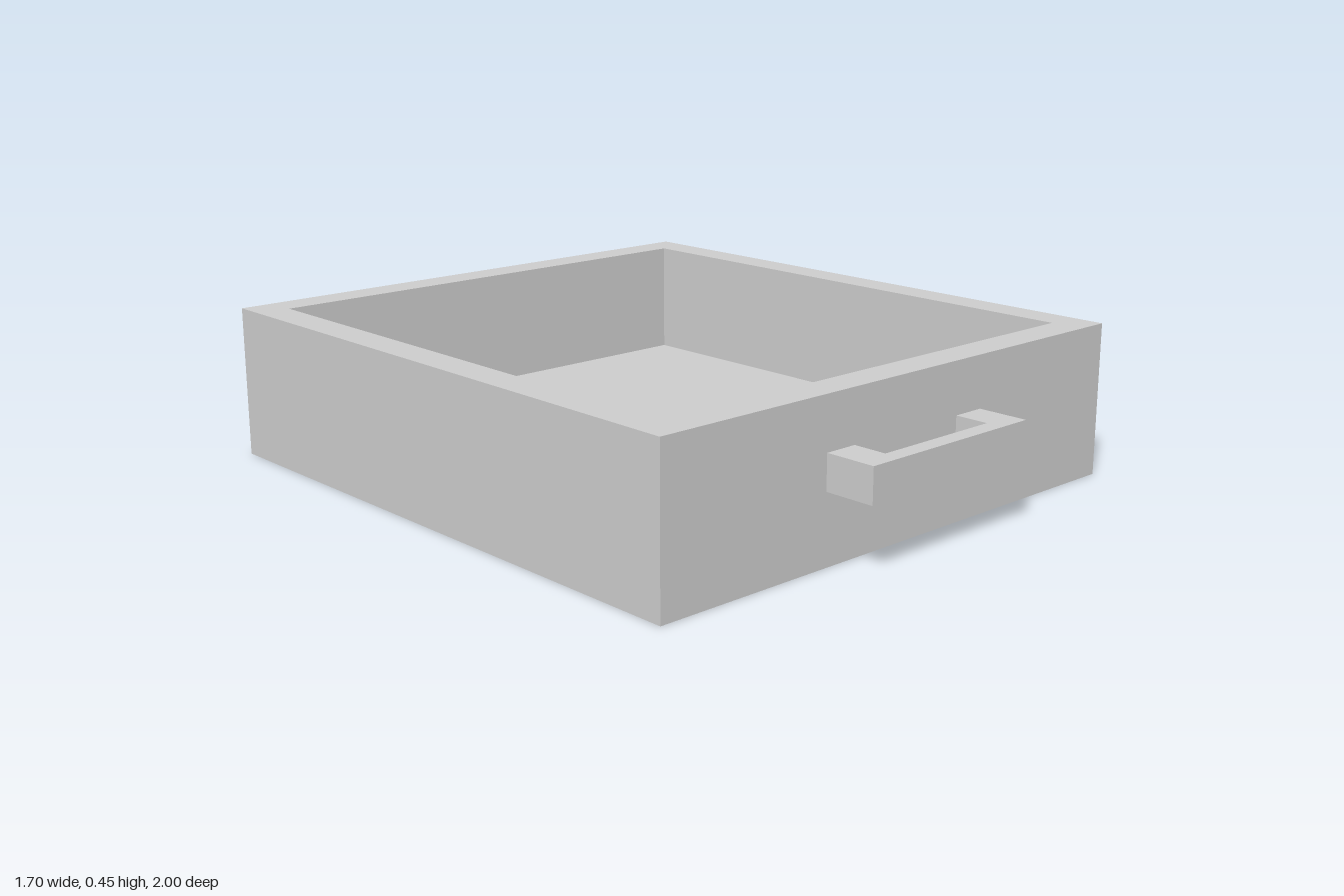
import * as THREE from 'three';

const material = new THREE.MeshStandardMaterial({ color: 0xcccccc, flatShading: true });

// Rectangular cross-section, counterclockwise seen from above
function ring(halfX, halfZ, y) {
  return [[1, 1], [1, -1], [-1, -1], [-1, 1]].map(([sx, sz]) => [sx * halfX, y, sz * halfZ]);
}

// Open tray skinned through its cross-sections: outside, rim, inside, floor
function trayGeometry() {
  const rings = [
    ring(0.85, 0.925, 0),
    ring(0.85, 0.925, 0.45),
    ring(0.75, 0.825, 0.45),
    ring(0.75, 0.825, 0.1),
  ];
  const positions = [];
  const quad = (a, b, c, d) => positions.push(...a, ...b, ...c, ...a, ...c, ...d);

  for (let r = 0; r < rings.length - 1; r++) {
    for (let i = 0; i < 4; i++) {
      const j = (i + 1) % 4;
      quad(rings[r][i], rings[r][j], rings[r + 1][j], rings[r + 1][i]);
    }
  }
  quad(...[...rings[0]].reverse()); // underside
  quad(...rings[3]); // inner floor

  const geometry = new THREE.BufferGeometry();
  geometry.setAttribute('position', new THREE.Float32BufferAttribute(positions, 3));
  geometry.computeVertexNormals();
  return geometry;
}

// U-shaped pull, drawn in plan and extruded vertically
function handleGeometry() {
  const plan = new THREE.Shape([
    [-0.3, 0.85], [-0.2, 0.85], [-0.2, 0.95], [0.2, 0.95],
    [0.2, 0.85], [0.3, 0.85], [0.3, 1], [-0.3, 1],
  ].map(([x, z]) => new THREE.Vector2(x, z)));
  return new THREE.ExtrudeGeometry(plan, { depth: 0.1, bevelEnabled: false })
    .rotateX(Math.PI / 2)
    .translate(0, 0.3, 0);
}

export function createModel() {
  const drawer = new THREE.Group();
  drawer.name = 'drawer';

  const tray = new THREE.Mesh(trayGeometry(), material);
  tray.name = 'tray';
  tray.position.z = -0.075;

  const handle = new THREE.Mesh(handleGeometry(), material);
  handle.name = 'handle';

  drawer.add(tray, handle);
  return drawer;
}
